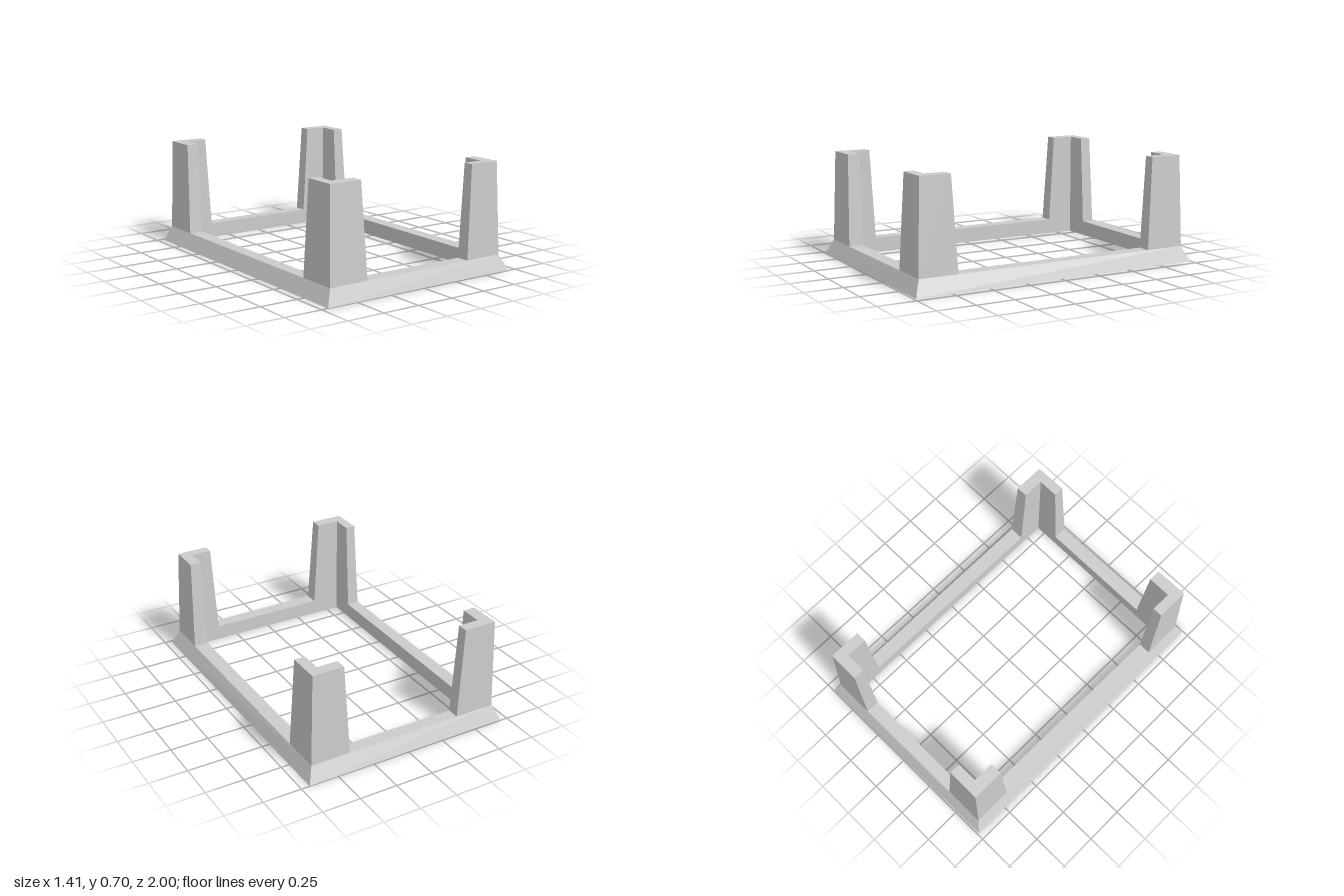
import * as THREE from 'three';

// Corner outlines [x, z], in order: back right, front right, front left, back left
const OUTER_FOOT = [[-0.705, -0.99], [-0.705, 1.0], [0.705, 0.985], [0.695, -1.0]];
const OUTER_RIM = [[-0.66, -0.945], [-0.66, 0.955], [0.655, 0.945], [0.655, -0.95]];
const OUTER_TOP = [[-0.645, -0.935], [-0.645, 0.935], [0.635, 0.925], [0.635, -0.935]];
const INNER = [[-0.565, -0.865], [-0.58, 0.855], [0.56, 0.86], [0.565, -0.86]];
const RIM_Y = 0.1, TOP_Y = 0.7;

const ring = (outline, y) => outline.map(([x, z]) => new THREE.Vector3(x, y, z));

function quad(out, a, b, c, d) {
  for (const p of [a, b, c, a, c, d]) out.push(p.x, p.y, p.z);
}

// Joins successive closed rings with quads
function loft(out, rings) {
  for (let r = 0; r < rings.length - 1; r++) {
    const lo = rings[r], hi = rings[r + 1], n = lo.length;
    for (let i = 0; i < n; i++) {
      const j = (i + 1) % n;
      quad(out, lo[i], lo[j], hi[j], hi[i]);
    }
  }
}

function makeMesh(name, positions, material) {
  const geometry = new THREE.BufferGeometry();
  geometry.setAttribute('position', new THREE.Float32BufferAttribute(positions, 3));
  geometry.computeVertexNormals();
  const mesh = new THREE.Mesh(geometry, material);
  mesh.name = name;
  return mesh;
}

// Point on the side from corner i to corner j where the arm of a leg ends
function armEnd(outline, i, j, endX, endZ) {
  const a = outline[i], b = outline[j];
  const axis = Math.sign(a[0]) === Math.sign(b[0]) ? 1 : 0;
  const target = Math.sign(a[axis]) * (axis === 0 ? endX : endZ);
  const t = (target - a[axis]) / (b[axis] - a[axis]);
  return [a[0] + (b[0] - a[0]) * t, a[1] + (b[1] - a[1]) * t];
}

// L-shaped section of the leg at corner i
function legSection(outer, i, endX, endZ, y) {
  const next = (i + 1) % 4, prev = (i + 3) % 4;
  return ring([
    outer[i],
    armEnd(outer, i, next, endX, endZ),
    armEnd(INNER, i, next, endX, endZ),
    INNER[i],
    armEnd(INNER, i, prev, endX, endZ),
    armEnd(outer, i, prev, endX, endZ),
  ], y);
}

export function createModel() {
  const group = new THREE.Group();
  group.name = 'cornerPostFrame';
  const material = new THREE.MeshStandardMaterial({ color: 0xcccccc, flatShading: true });

  // Base frame with sloped outer sides and upright inner sides
  const base = [];
  loft(base, [
    ring(OUTER_FOOT, 0), ring(OUTER_RIM, RIM_Y),
    ring(INNER, RIM_Y), ring(INNER, 0), ring(OUTER_FOOT, 0),
  ]);
  group.add(makeMesh('baseFrame', base, material));

  // Tapered angle posts at the four corners
  const names = ['backRightPost', 'frontRightPost', 'frontLeftPost', 'backLeftPost'];
  names.forEach((name, i) => {
    const post = [];
    const foot = legSection(OUTER_RIM, i, 0.39, 0.685, RIM_Y);
    const top = legSection(OUTER_TOP, i, 0.427, 0.72, TOP_Y);
    loft(post, [foot, top]);
    quad(post, top[0], top[1], top[2], top[3]);
    quad(post, top[0], top[3], top[4], top[5]);
    group.add(makeMesh(name, post, material));
  });

  return group;
}
